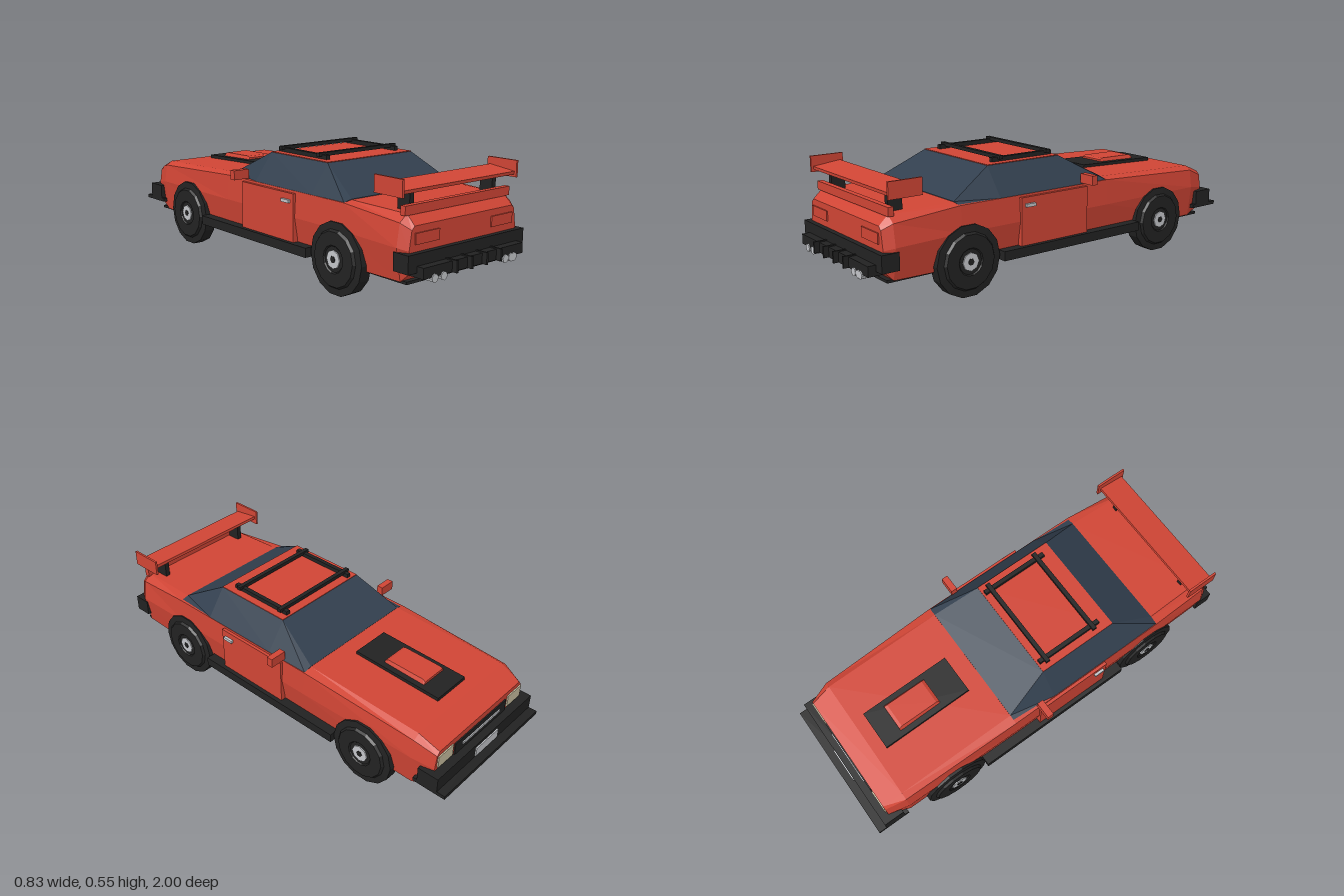
import * as THREE from 'three';

const mat = (name, color, extra = {}) => {
  const m = new THREE.MeshStandardMaterial({ color, flatShading: true, ...extra });
  m.name = name;
  return m;
};

// Closed loft through mirrored half sections: [z, [x, y], ...], each listed from the bottom up
function loft(sections) {
  const rings = sections.map(([z, ...half]) => [
    ...half.map(([x, y]) => [x, y, z]),
    ...half.slice().reverse().map(([x, y]) => [-x, y, z]),
  ]);
  const out = [];
  const tri = (a, b, c) => out.push(...a, ...b, ...c);
  const n = rings[0].length;
  for (let i = 0; i < rings.length - 1; i++) {
    for (let j = 0; j < n; j++) {
      const k = (j + 1) % n;
      const a = rings[i][j], b = rings[i][k], c = rings[i + 1][k], d = rings[i + 1][j];
      tri(a, b, c);
      tri(a, c, d);
    }
  }
  const first = rings[0], last = rings[rings.length - 1];
  for (let j = 1; j < n - 1; j++) {
    tri(first[0], first[j + 1], first[j]);
    tri(last[0], last[j], last[j + 1]);
  }
  const g = new THREE.BufferGeometry();
  g.setAttribute('position', new THREE.Float32BufferAttribute(out, 3));
  g.computeVertexNormals();
  return g;
}

export function createModel() {
  const car = new THREE.Group();
  car.name = 'car';
  const red = mat('red paint', 0xd04535);
  const black = mat('black trim', 0x222222);
  const glass = mat('tinted glass', 0x323f4e);
  const silver = mat('silver', 0xc4c6ca);
  const cream = mat('headlight lens', 0xc8bfa0);

  const add = (name, geo, material, parent = car) => {
    const m = new THREE.Mesh(geo, material);
    m.name = name;
    parent.add(m);
    return m;
  };
  // Box given by its min and max on each axis
  const box = (name, material, x0, x1, y0, y1, z0, z1) => {
    const m = add(name, new THREE.BoxGeometry(x1 - x0, y1 - y0, z1 - z0), material);
    m.position.set((x0 + x1) / 2, (y0 + y1) / 2, (z0 + z1) / 2);
    return m;
  };
  // The same box on both sides
  const pair = (name, material, x0, x1, ...rest) => {
    box(name + 'Left', material, x0, x1, ...rest);
    box(name + 'Right', material, -x1, -x0, ...rest);
  };

  // Body shell, from the hood end (-z) to the trunk end (+z)
  add('body', loft([
    [-0.92, [0.30, 0.16], [0.315, 0.26], [0.305, 0.325], [0.29, 0.342]],
    [-0.82, [0.325, 0.133], [0.343, 0.28], [0.33, 0.365], [0.30, 0.384]],
    [-0.235, [0.325, 0.13], [0.35, 0.28], [0.343, 0.395], [0.30, 0.405]],
    [0.57, [0.325, 0.13], [0.35, 0.28], [0.343, 0.395], [0.30, 0.402]],
    [0.875, [0.32, 0.133], [0.343, 0.27], [0.328, 0.365], [0.29, 0.395]],
    [0.917, [0.29, 0.18], [0.318, 0.26], [0.305, 0.34], [0.29, 0.355]],
  ]), red);
  box('underbody', black, -0.31, 0.31, 0.124, 0.136, -0.9, 0.9);

  // Cabin glass and roof
  add('cabinGlass', loft([
    [-0.235, [0.34, 0.395], [0.30, 0.406]],
    [-0.02, [0.342, 0.395], [0.25, 0.52]],
    [0.37, [0.342, 0.395], [0.25, 0.52]],
    [0.575, [0.34, 0.395], [0.30, 0.404]],
  ]), glass);
  box('roof', red, -0.25, 0.25, 0.516, 0.523, -0.02, 0.37);

  // Doors, handles, mirrors and sills
  pair('door', red, 0.335, 0.358, 0.17, 0.385, -0.105, 0.27);
  pair('doorHandle', silver, 0.355, 0.37, 0.343, 0.357, 0.2, 0.25);
  pair('mirror', red, 0.335, 0.415, 0.4, 0.443, -0.112, -0.082);
  pair('sill', black, 0.31, 0.377, 0.13, 0.172, -0.42, 0.375);

  // Roof rack
  pair('rackRail', black, 0.195, 0.215, 0.52, 0.542, -0.01, 0.32);
  for (const z of [0.022, 0.282]) box('rackBar', black, -0.23, 0.23, 0.534, 0.55, z - 0.01, z + 0.01);

  // Hood panel and tapered scoop
  const panel = box('hoodPanel', black, -0.095, 0.095, 0.388, 0.409, -0.763, -0.318);
  panel.rotation.x = -0.03;
  add('hoodScoop', loft([
    [-0.67, [0.075, 0.395], [0.062, 0.417]],
    [-0.655, [0.075, 0.395], [0.06, 0.424]],
    [-0.47, [0.075, 0.395], [0.06, 0.427]],
    [-0.455, [0.075, 0.395], [0.062, 0.42]],
  ]), red);

  // Nose: bumper, splitter, grille, lamps and plate
  box('noseBumper', black, -0.345, 0.345, 0.175, 0.252, -0.96, -0.86);
  box('splitter', black, -0.345, 0.345, 0.168, 0.185, -1, -0.84);
  box('grille', black, -0.185, 0.185, 0.25, 0.312, -0.926, -0.917);
  box('grilleStrip', silver, -0.135, 0.135, 0.278, 0.29, -0.931, -0.925);
  pair('headlight', cream, 0.2, 0.3, 0.262, 0.32, -0.926, -0.917);
  box('noseePlate'.replace('ee', 'e'), silver, -0.08, 0.08, 0.193, 0.238, -0.966, -0.958);

  // Tail: bumper, diffuser with fins, lamps and exhausts
  box('tailBumper', black, -0.345, 0.345, 0.178, 0.253, 0.86, 0.94);
  box('diffuser', black, -0.298, 0.298, 0.16, 0.205, 0.88, 0.975);
  for (const x of [-0.133, -0.045, 0.044, 0.132]) box('diffuserFin', black, x - 0.005, x + 0.005, 0.16, 0.21, 0.9, 0.998);
  pair('tailLamp', red, 0.155, 0.288, 0.282, 0.327, 0.915, 0.923);
  for (const x of [-0.238, -0.187, 0.184, 0.22, 0.237]) {
    const pipe = add('exhaust', new THREE.CylinderGeometry(0.018, 0.018, 0.09, 8), silver);
    pipe.rotation.x = Math.PI / 2;
    pipe.position.set(x, 0.156, 0.935);
  }

  // Trunk lip and wing
  box('trunkLip', red, -0.31, 0.31, 0.39, 0.428, 0.86, 0.885);
  pair('wingStrut', black, 0.233, 0.256, 0.39, 0.485, 0.79, 0.855);
  const wing = box('wing', red, -0.337, 0.337, 0.483, 0.497, 0.76, 0.89);
  wing.rotation.x = 0.12;
  pair('wingEndplate', red, 0.332, 0.342, 0.464, 0.536, 0.747, 0.9);

  // Wheels: stepped tyre, hub ring and dark centre
  const lathe = (pts) => new THREE.LatheGeometry(pts.map(([r, y]) => new THREE.Vector2(r, y)), 14);
  const tyre = lathe([[0, -0.052], [0.118, -0.052], [0.126, -0.044], [0.126, -0.02], [0.157, -0.016],
    [0.157, 0.037], [0.126, 0.04], [0.118, 0.051], [0.06, 0.051], [0.055, 0.046], [0, 0.046]]);
  const hub = new THREE.CylinderGeometry(0.04, 0.04, 0.01, 8);
  const cap = new THREE.CylinderGeometry(0.015, 0.015, 0.012, 6);
  for (const side of [1, -1]) {
    for (const z of [0.54, -0.575]) {
      const wheel = new THREE.Group();
      wheel.name = 'wheel';
      add('tyre', tyre, black, wheel);
      add('hub', hub, silver, wheel).position.y = 0.046;
      add('hubCentre', cap, black, wheel).position.y = 0.047;
      wheel.rotation.z = -side * Math.PI / 2;
      wheel.position.set(side * 0.317, 0.157, z);
      car.add(wheel);
    }
  }
  return car;
}
